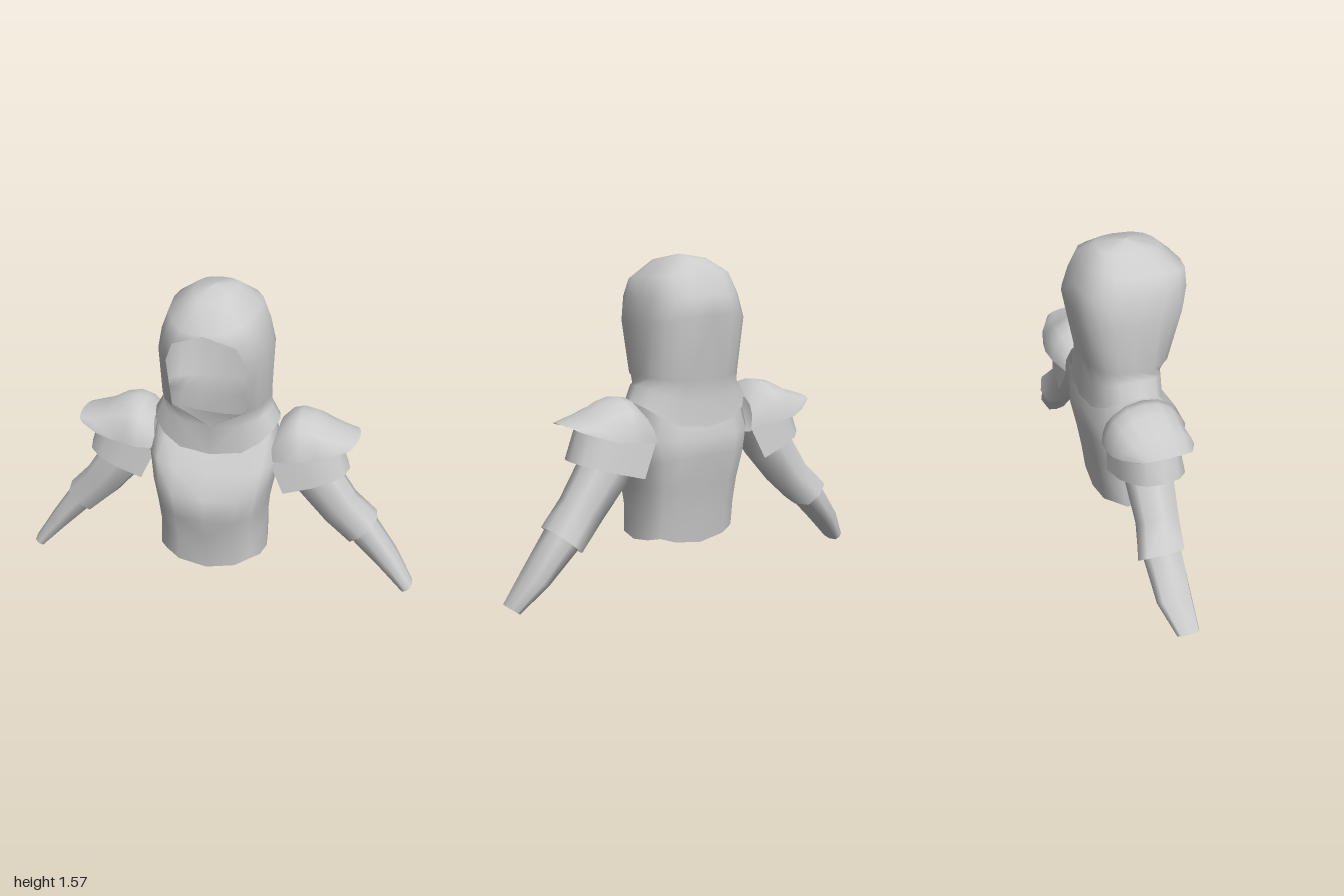
import * as THREE from 'three';
import { mergeVertices } from 'three/addons/utils/BufferGeometryUtils.js';

const cloth = new THREE.MeshStandardMaterial({ color: 0xcccccc, side: THREE.DoubleSide });
cloth.name = 'plain grey cloth';

// Smooth skin through rows of points, with mirrored diagonals in the two halves
function skin(name, rows) {
  const n = rows[0].length, index = [];
  for (let r = 0; r < rows.length - 1; r++) {
    for (let i = 0; i < n - 1; i++) {
      const a = r * n + i, b = a + n;
      if (i < (n - 1) / 2) index.push(a, a + 1, b + 1, a, b + 1, b);
      else index.push(a, a + 1, b, a + 1, b + 1, b);
    }
  }
  let g = new THREE.BufferGeometry();
  g.setAttribute('position', new THREE.Float32BufferAttribute(rows.flat(2), 3));
  g.setIndex(index);
  g = mergeVertices(g, 1e-4);
  g.computeVertexNormals();
  const mesh = new THREE.Mesh(g, cloth);
  mesh.name = name;
  return mesh;
}

// Signed power: below 1 it squares off a circle
const bulge = (v, power) => Math.sign(v) * Math.abs(v) ** power;

// Body ring: half width, side y z, front y z, back y z, half gap at the front, hem wave.
// Rounded-square section, one half traced front to back and then mirrored.
function girth([w, ys, zs, yf, zf, yb, zb, gap = 0, wave = 0], power, steps = 8) {
  const start = Math.asin((gap / w) ** (1 / power)), half = [];
  for (let i = 0; i <= steps; i++) {
    const a = start + (Math.PI - start) * i / steps, cos = Math.cos(a);
    const c = cos > 0 ? cos / Math.cos(start) : -cos;
    const [y, z] = cos > 0 ? [yf, zf] : [yb, zb];
    half.push([
      w * Math.max(0, Math.sin(a)) ** power,
      ys + (y - ys) * c * c + wave * Math.sin(2 * a) ** 2,
      zs + (z - zs) * c ** power,
    ]);
  }
  return [...half, ...half.slice(0, -1).reverse().map(([x, y, z]) => [-x, y, z])];
}

// Sleeve ring: upper point, lower point, front z, back z
function ring([ux, uy, lx, ly, zf, zb], sides = 8) {
  const row = [];
  for (let i = 0; i <= sides; i++) {
    const a = (i % sides) / sides * Math.PI * 2;
    const c = bulge(Math.cos(a), 0.65), s = bulge(Math.sin(a), 0.65);
    row.push([(ux + lx + c * (ux - lx)) / 2, (uy + ly + c * (uy - ly)) / 2, (zf + zb + s * (zf - zb)) / 2]);
  }
  return row;
}

// Shoulder arch: crest point, edge point, front z, back z
function arch([tx, ty, ex, ey, zf, zb], power, steps = 8) {
  const row = [];
  for (let i = 0; i <= steps; i++) {
    const a = i / steps * Math.PI;
    const s = bulge(Math.sin(a), power), z = bulge(-Math.cos(a), power);
    row.push([ex + (tx - ex) * s, ey + (ty - ey) * s, (zf + zb + z * (zf - zb)) / 2]);
  }
  return row;
}

function createArm(name) {
  const arm = new THREE.Group();
  arm.name = name;
  // Upper sleeve with a flared cuff
  arm.add(skin('upperSleeve', [
    [.43, .84, .31, .68, .04, -.17],
    [.59, .65, .40, .53, .045, -.18],
    [.695, .49, .54, .37, .03, -.175],
    [.80, .375, .665, .255, .02, -.21],
  ].map(r => ring(r))));
  // Tapering forearm closed at the wrist
  const wrist = [1, .04, .95, .003, 0, -.11];
  arm.add(skin('forearm', [
    [.74, .43, .61, .33, 0, -.18],
    [.79, .36, .68, .263, .003, -.183],
    [.91, .185, .825, .125, 0, -.17],
    wrist,
  ].map(r => ring(r))));
  const tip = ring(wrist);
  arm.add(skin('wristCap', [tip, tip.map(() => [.975, .0215, -.055])]));
  // Two overlapping shoulder layers
  arm.add(skin('shoulderCap', [
    [.31, .875, .275, .73, .1, -.21],
    [.36, .93, .37, .75, .145, -.25],
    [.41, .94, .44, .76, .135, -.26],
    [.48, .925, .51, .765, .12, -.25],
    [.57, .875, .58, .79, .12, -.23],
    [.695, .838, .655, .815, .08, -.18],
  ].map(r => arch(r, 0.95))));
  arm.add(skin('shoulderSkirt', [
    [.60, .83, .28, .73, .1, -.2],
    [.655, .66, .355, .57, .12, -.22],
  ].map(r => arch(r, 0.8))));
  return arm;
}

export function createModel() {
  const model = new THREE.Group();
  model.name = 'hoodedTunic';

  // Tunic body, wavy hem to neckline
  model.add(skin('tunicBody', [
    [.265, .205, .02, .165, .225, .19, -.17, 0, .035],
    [.262, .36, .01, .34, .235, .36, -.19],
    [.272, .48, .01, .45, .27, .48, -.21],
    [.295, .6, 0, .57, .28, .64, -.24],
    [.32, .74, 0, .68, .21, .72, -.235],
    [.285, .89, -.02, .78, .125, .8, -.21],
  ].map(r => girth(r, 0.65))));

  // Collar, hood and crown; rings with a gap leave the face opening
  model.add(skin('hood', [
    [.31, .9, -.03, .752, .145, .775, -.23],
    [.27, .97, -.02, .905, .145, .9, -.22],
    [.262, 1.02, -.03, 1, .15, 1, -.225, .18],
    [.27, 1.26, -.03, 1.26, .215, 1.31, -.28, .19],
    [.245, 1.385, -.03, 1.36, .25, 1.4, -.25, .15],
    [.21, 1.48, -.03, 1.42, .28, 1.505, -.205],
    [.1, 1.556, -.02, 1.53, .17, 1.557, -.13],
    [.001, 1.575, .01, 1.575, .011, 1.575, .009],
  ].map(r => girth(r, 0.77))));

  // Arms
  const right = createArm('rightArm');
  right.scale.x = -1;
  model.add(createArm('leftArm'), right);
  return model;
}
